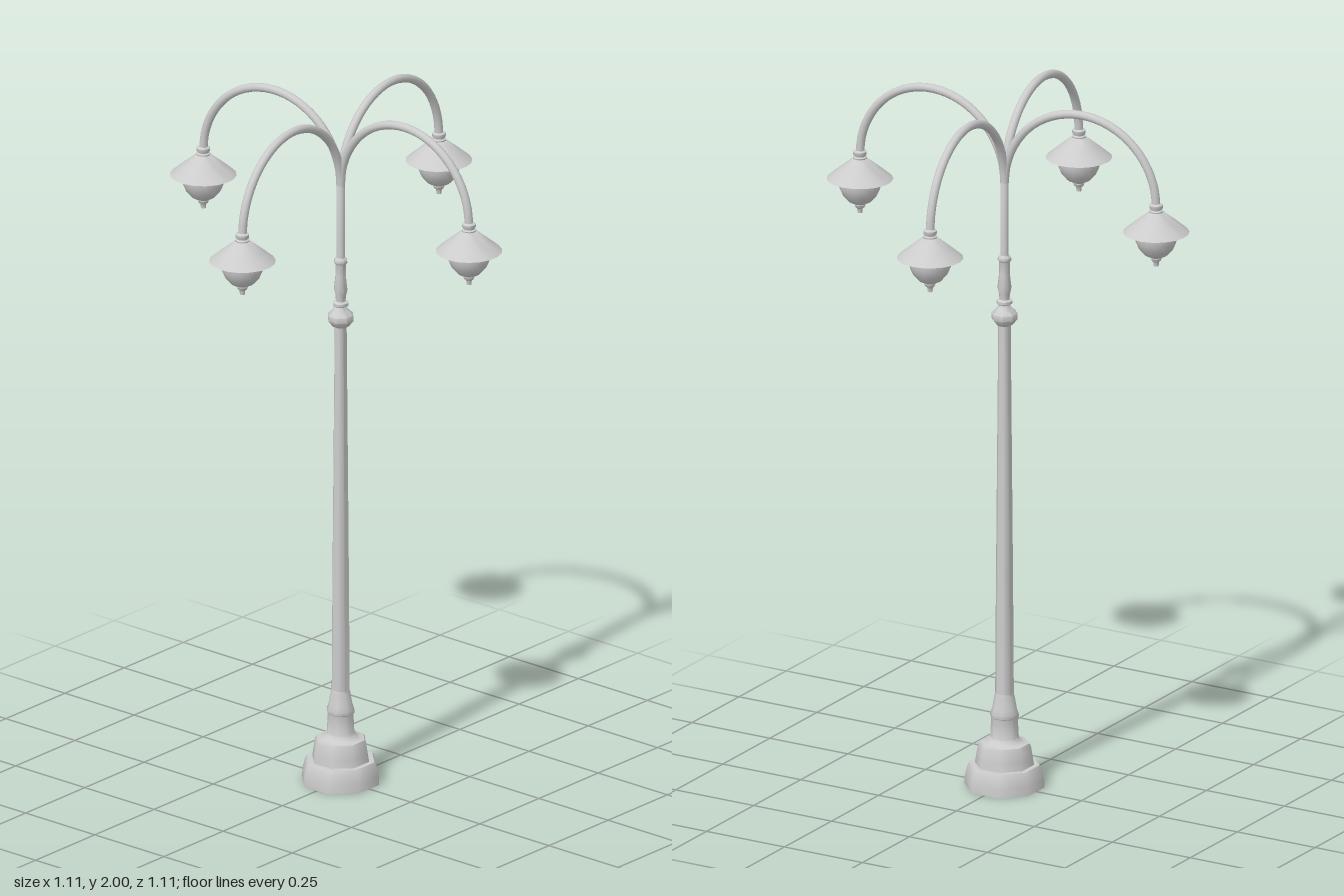
import * as THREE from 'three';
import { toCreasedNormals } from 'three/addons/utils/BufferGeometryUtils.js';

const material = new THREE.MeshStandardMaterial({ color: 0xcccccc, side: THREE.DoubleSide });

const REACH = 0.464; // post axis to lamp axis
const ARM_RADIUS = 0.012;
const SPRING = 1.755; // height where the arms leave the stem

// Turned part from [radius, height] pairs, bottom to top; sharp only at strong steps
function turned(name, profile, sides, crease = 0.9) {
  const points = profile.map(([r, y]) => new THREE.Vector2(r, y));
  const geometry = new THREE.LatheGeometry(points, sides, Math.PI / sides);
  const mesh = new THREE.Mesh(toCreasedNormals(geometry, crease), material);
  mesh.name = name;
  return mesh;
}

// Octagonal part given by its half width across the flats
function octagonal(name, profile) {
  const k = 1 / Math.cos(Math.PI / 8);
  return turned(name, profile.map(([r, y]) => [r * k, y]), 8);
}

function createPost() {
  const post = new THREE.Group();
  post.name = 'post';
  post.add(
    // Stepped hollow foot
    octagonal('base', [
      [0.103, 0], [0.102, 0.025], [0.094, 0.058], [0.09, 0.064],
      [0.076, 0.064], [0.073, 0.085], [0.068, 0.118], [0.064, 0.126],
      [0.05, 0.128], [0.044, 0.134], [0.037, 0.142], [0.034, 0.2],
      [0.037, 0.203], [0.037, 0.21], [0.032, 0.225], [0.026, 0.262], [0.024, 0.27],
    ]),
    // Long tapering column
    octagonal('shaft', [[0.024, 0.27], [0.022, 0.6], [0.016, 1.345]]),
    // Bulging collar and upper sleeve
    octagonal('collar', [
      [0.016, 1.34], [0.022, 1.343], [0.034, 1.36], [0.034, 1.376],
      [0.021, 1.388], [0.015, 1.4], [0.021, 1.404], [0.021, 1.412],
      [0.013, 1.416], [0.014, 1.43], [0.018, 1.45], [0.014, 1.49],
      [0.014, 1.525], [0.018, 1.53], [0.017, 1.538], [0.011, 1.545],
    ]),
    // Slim stem that carries the arms
    turned('stem', [[0.012, 1.53], [0.012, SPRING + 0.03], [0, SPRING + 0.04]], 12),
  );
  return post;
}

// Lamp, built around its own vertical axis
function createLamp() {
  const lamp = new THREE.Group();
  lamp.name = 'lamp';
  lamp.add(
    turned('lampSocket', [
      [0.02, 1.737], [0.02, 1.745], [0.015, 1.748], [0.019, 1.754], [0.019, 1.762], [0.011, 1.766],
    ], 12),
    turned('shade', [[0.092, 1.683], [0.055, 1.714], [0.02, 1.742], [0, 1.742]], 18),
    // Globe, drawn out to a tip below
    turned('globe', [
      [0.014, 1.609], [0.032, 1.618], [0.048, 1.636], [0.057, 1.657],
      [0.06, 1.677], [0.056, 1.697], [0.045, 1.714], [0.025, 1.728], [0, 1.732],
    ], 18),
    turned('finial', [
      [0, 1.582], [0.007, 1.584], [0.008, 1.596], [0.013, 1.6], [0.016, 1.607], [0.014, 1.612],
    ], 10),
  );
  lamp.position.z = REACH;
  return lamp;
}

// Half-round arm leaning out along +z, with its lamp
function createArm(angle) {
  const arm = new THREE.Group();
  arm.name = 'lampArm';
  const r = REACH / 2;
  const points = [];
  for (let i = 0; i <= 16; i++) {
    const t = (i / 16) * Math.PI;
    points.push(new THREE.Vector3(0, SPRING + r * Math.sin(t), r - r * Math.cos(t)));
  }
  const path = new THREE.CatmullRomCurve3(points);
  const tube = new THREE.Mesh(new THREE.TubeGeometry(path, 32, ARM_RADIUS, 10), material);
  tube.name = 'curvedTube';
  arm.add(tube, createLamp());
  arm.rotation.y = angle;
  return arm;
}

export function createModel() {
  const model = new THREE.Group();
  model.name = 'streetLamp';
  model.add(createPost());
  // Four arms, three of them turned slightly off the square
  for (const degrees of [0, 95, 185, 275]) {
    model.add(createArm(THREE.MathUtils.degToRad(degrees)));
  }
  model.position.z = -0.003;
  return model;
}
